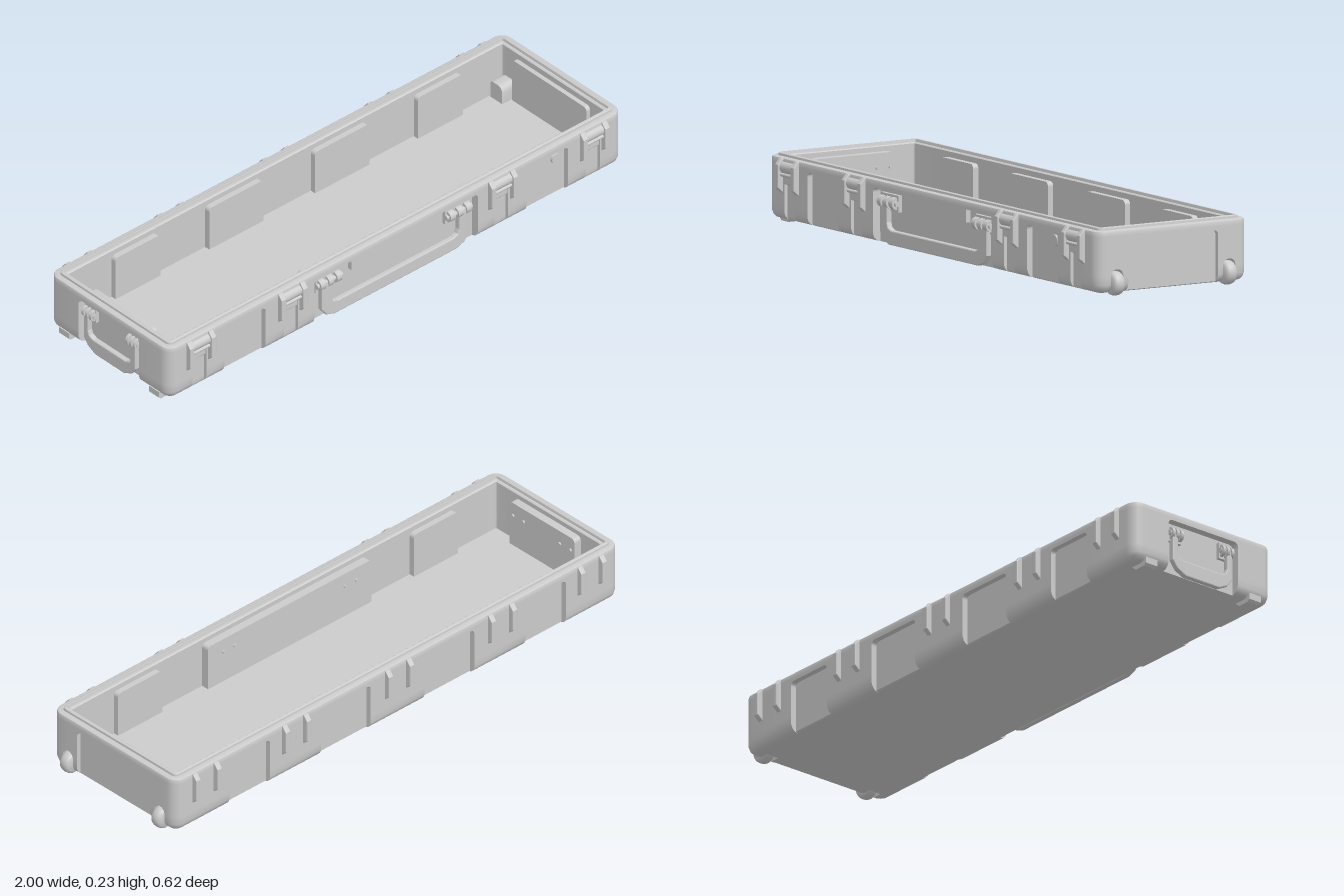
import * as THREE from 'three';
import { toCreasedNormals } from 'three/addons/utils/BufferGeometryUtils.js';
import { RoundedBoxGeometry } from 'three/addons/geometries/RoundedBoxGeometry.js';

const L = 0.9875, W = 0.29, CORNER = 0.04, WALL = 0.045;
const RIBS = [-0.855, -0.457, 0.457, 0.855];
const PANELS = [-0.657, 0.657];
const mat = new THREE.MeshStandardMaterial({ color: 0xcccccc });

function add(parent, name, geo, x = 0, y = 0, z = 0) {
  const m = new THREE.Mesh(geo, mat);
  m.name = name;
  m.position.set(x, y, z);
  parent.add(m);
  return m;
}

// Creased normals, computed at a larger scale so close vertices stay distinct
function crease(geo, angle = 0.6) {
  geo.scale(100, 100, 100);
  return toCreasedNormals(geo, angle).scale(0.01, 0.01, 0.01);
}

// Recesses in the walls, open at the bottom: position, half width, top, depth, corner radius
const notch = (s, hw, top, depth, r = 0.015, inside = true) => ({ s, hw, top, depth, r, inside });
const panel = (s, hw = 0.09) => notch(s, hw, 0.19, 0.02);
const wheelWell = (s) => notch(s, 0.024, 0.092, 0.055, 0.022);
const frontNotches = [
  ...RIBS.map((s) => notch(s, 0.03, 0.2, 0.012, 0.005, false)),
  ...PANELS.map((s) => panel(s)), notch(0, 0.355, 0.192, 0.028),
].sort((a, b) => a.s - b.s);

// Each side: direction along the wall, outward normal, half length, distance out
const sides = [
  { d: [1, 0], n: [0, 1], half: L, out: W, notches: frontNotches },
  { d: [0, -1], n: [1, 0], half: W, out: L, notches: [wheelWell(-0.215), notch(0, 0.172, 0.188, 0.016), wheelWell(0.215)] },
  { d: [-1, 0], n: [0, -1], half: L, out: W, notches: [panel(-0.657), panel(-0.23, 0.11), panel(0.23, 0.11), panel(0.657)] },
  { d: [0, 1], n: [-1, 0], half: W, out: L, notches: [notch(0, 0.145, 0.192, 0.028)] },
];

// Outline of the case at one height, seen from above
function ring(y, inset, inner) {
  const pts = [], grow = inner ? 0.008 : 0, r = Math.max(CORNER - inset, 0.006);
  for (const { d, n, half, out, notches } of sides) {
    const end = half - inset - r;
    const put = (s, o) => pts.push([d[0] * s + n[0] * o, y, d[1] * s + n[1] * o]);
    for (const c of notches) {
      const top = c.top + grow;
      const k = THREE.MathUtils.clamp((y - top + c.r) / c.r, 0, 1);
      const hw = c.hw + grow - c.r * (1 - Math.sqrt(1 - k * k));
      let deep = inner ? inset + (c.inside ? c.depth : 0) : Math.max(inset, c.depth);
      if (y > top + 1e-6) deep = inset;
      const a = Math.max(c.s - hw, -end), b = Math.min(c.s + hw, end);
      put(a, out - inset); put(a, out - deep); put(b, out - deep); put(b, out - inset);
    }
    for (let i = 0; i <= 6; i++) {
      const t = (i / 6) * Math.PI / 2;
      put(end + r * Math.sin(t), out - inset - r + r * Math.cos(t));
    }
  }
  return pts;
}

// Heights needed to follow the rounded tops of all recesses
function levels(grow) {
  const ys = new Set();
  for (const c of sides.flatMap((s) => s.notches)) {
    for (const a of [0, 0.5, 0.8, 0.95, 1]) ys.add(+(c.top + grow - c.r * (1 - a)).toFixed(5));
    ys.add(+(c.top + grow + 2e-5).toFixed(5));
  }
  return [...ys].sort((a, b) => a - b);
}

// Tray: outer wall up, over the rim, down the inner wall, then floor and underside
function trayGeometry() {
  const rings = [
    [0.015, 0.026], [0.019, 0.014], [0.028, 0.005], [0.042, 0],
    ...levels(0).map((y) => [y, 0]),
    [0.212, 0], [0.217, 0.002], [0.219, 0.006], [0.219, 0.021],
    [0.226, 0.022], [0.228, 0.025], [0.228, 0.032], [0.219, 0.034], [0.219, 0.041], [0.216, WALL],
  ].map(([y, i]) => ring(y, i, false));
  for (const y of levels(0.008).reverse()) if (y < 0.208) rings.push(ring(y, WALL, true));
  rings.push(ring(0.035, WALL, true));
  const n = rings[0].length, index = [];
  for (let i = 0; i < rings.length - 1; i++) {
    for (let j = 0; j < n; j++) {
      const k = (j + 1) % n, a = i * n, b = a + n;
      index.push(a + j, a + k, b + k, a + j, b + k, b + j);
    }
  }
  const cap = (row, flip) => {
    const flat = rings[row].map((p) => new THREE.Vector2(p[0], -p[2]));
    for (const [a, b, c] of THREE.ShapeUtils.triangulateShape(flat, [])) {
      index.push(row * n + a, row * n + (flip ? c : b), row * n + (flip ? b : c));
    }
  };
  cap(0, true);
  cap(rings.length - 1, false);
  const geo = new THREE.BufferGeometry();
  geo.setAttribute('position', new THREE.Float32BufferAttribute(rings.flat(2), 3));
  geo.setIndex(index);
  return crease(geo);
}

function extrude(points, depth, bevel) {
  const shape = new THREE.Shape(points.map((p) => new THREE.Vector2(...p)));
  return new THREE.ExtrudeGeometry(shape, {
    depth, bevelEnabled: bevel > 0, bevelThickness: bevel, bevelSize: bevel, bevelOffset: -bevel, bevelSegments: 2,
  });
}

const barrel = (r, len) => new THREE.CylinderGeometry(r, r, len, 24).rotateZ(Math.PI / 2);

// Folding handle with ribbed hinge mounts; faces +z, outer face at z = 0
function handle(name, w, bottom, lug) {
  const g = new THREE.Group();
  g.name = name;
  const t = 0.4 * lug, half = [
    [w, 0.15], [w, 0.055], [w - 0.02, 0.028], [w - 0.055, bottom], // outer edge
  ];
  const inner = [[w - t - 0.025, 0.064], [w - t - 0.006, 0.072], [w - t, 0.088], [w - t, 0.15]];
  const mirror = (a) => a.map(([x, y]) => [-x, y]).reverse();
  add(g, 'grip', extrude([...half, ...mirror(half), ...mirror(inner), ...inner].filter(Boolean), 0.012, 0.004), 0, 0, -0.018);
  for (const s of [-1, 1]) {
    const x = s * (w - lug * 0.35);
    add(g, 'hingeMount', new THREE.BoxGeometry(lug, 0.055, 0.014), x, 0.152, -0.023);
    for (const k of [-1, 0, 1]) add(g, 'hingeKnuckle', barrel(0.02, lug * 0.2), x + k * lug * 0.32, 0.152, -0.016);
    add(g, 'hingePin', barrel(0.009, lug), x, 0.152, -0.012);
  }
  return g;
}

export function createModel() {
  const model = new THREE.Group();
  model.name = 'caseBase';
  const body = new THREE.Group();
  body.name = 'body';
  body.position.x = -0.0125;
  model.add(body);
  add(body, 'tray', trayGeometry());

  // Paired guard ribs along the front and back
  const ribGeo = extrude([[-0.02, 0.217], [0.004, 0.217], [0.02, 0.198], [0.02, 0.122], [0, 0.105], [-0.02, 0.105]], 0.014, 0.003)
    .rotateY(-Math.PI / 2).translate(0.007, 0, 0);
  for (const face of [1, -1]) {
    for (const x of face > 0 ? RIBS : [...RIBS, 0]) {
      for (const s of [-1, 1]) {
        const rib = add(body, 'guardRib', ribGeo, x + s * 0.047, 0, face * W);
        if (face < 0) rib.rotation.y = Math.PI;
      }
    }
  }

  // Latches between the front ribs
  for (const x of RIBS) {
    add(body, 'latchBarrel', barrel(0.02, 0.08), x, 0.188, W - 0.006);
    add(body, 'latchPin', barrel(0.006, 0.09), x, 0.165, W + 0.006);
    add(body, 'latchPlate', new RoundedBoxGeometry(0.052, 0.045, 0.016, 2, 0.004), x, 0.157, W - 0.004);
  }

  // Carry handle, its backing plate and the end handle
  const carry = handle('carryHandle', 0.32, 0.016, 0.11);
  carry.position.z = W;
  add(body, 'backingPlate', new THREE.BoxGeometry(0.37, 0.046, 0.02), 0, 0.169, W - 0.02);
  const pull = handle('endHandle', 0.125, 0.011, 0.055);
  pull.position.x = -L;
  pull.rotation.y = -Math.PI / 2;
  body.add(carry, pull);

  // Fixing studs inside the tray behind both handles
  for (const s of [-1, 1]) {
    for (const k of [-0.025, 0.025]) {
      add(body, 'fixingStud', new THREE.CylinderGeometry(0.006, 0.006, 0.008, 12).rotateX(Math.PI / 2),
        s * 0.27 + k, 0.152, W - WALL - 0.03);
      add(body, 'fixingStud', barrel(0.006, 0.008), -L + WALL + 0.03, 0.152, s * 0.11 + k);
    }
  }

  // Pressure valve on the front panel
  add(body, 'pressureValve', new THREE.CylinderGeometry(0.019, 0.019, 0.012, 24).rotateX(Math.PI / 2), 0.708, 0.155, W - 0.018);

  // Wheels at one end, feet at the other
  const tyre = [[0, -0.02], [0.03, -0.02], [0.036, -0.016], [0.039, -0.009], [0.04, 0], [0.039, 0.009], [0.036, 0.016], [0.03, 0.02], [0, 0.02]];
  const wheelGeo = crease(new THREE.LatheGeometry(tyre.map((p) => new THREE.Vector2(...p)), 32).rotateX(Math.PI / 2), 0.7);
  const axleGeo = new THREE.CylinderGeometry(0.008, 0.008, 0.056, 16).rotateX(Math.PI / 2);
  const footGeo = extrude([[0, 0.03], [0, 0.008], [0.008, 0], [0.05, 0], [0.07, 0.014], [0.07, 0.03]], 0.048, 0).translate(0, 0, -0.024);
  for (const s of [-1, 1]) {
    add(body, 'wheel', wheelGeo, 0.9725, 0.045, s * 0.215);
    add(body, 'axle', axleGeo, 0.9725, 0.045, s * 0.215);
    add(body, 'foot', footGeo, -L, 0, s * 0.217);
  }
  return model;
}
